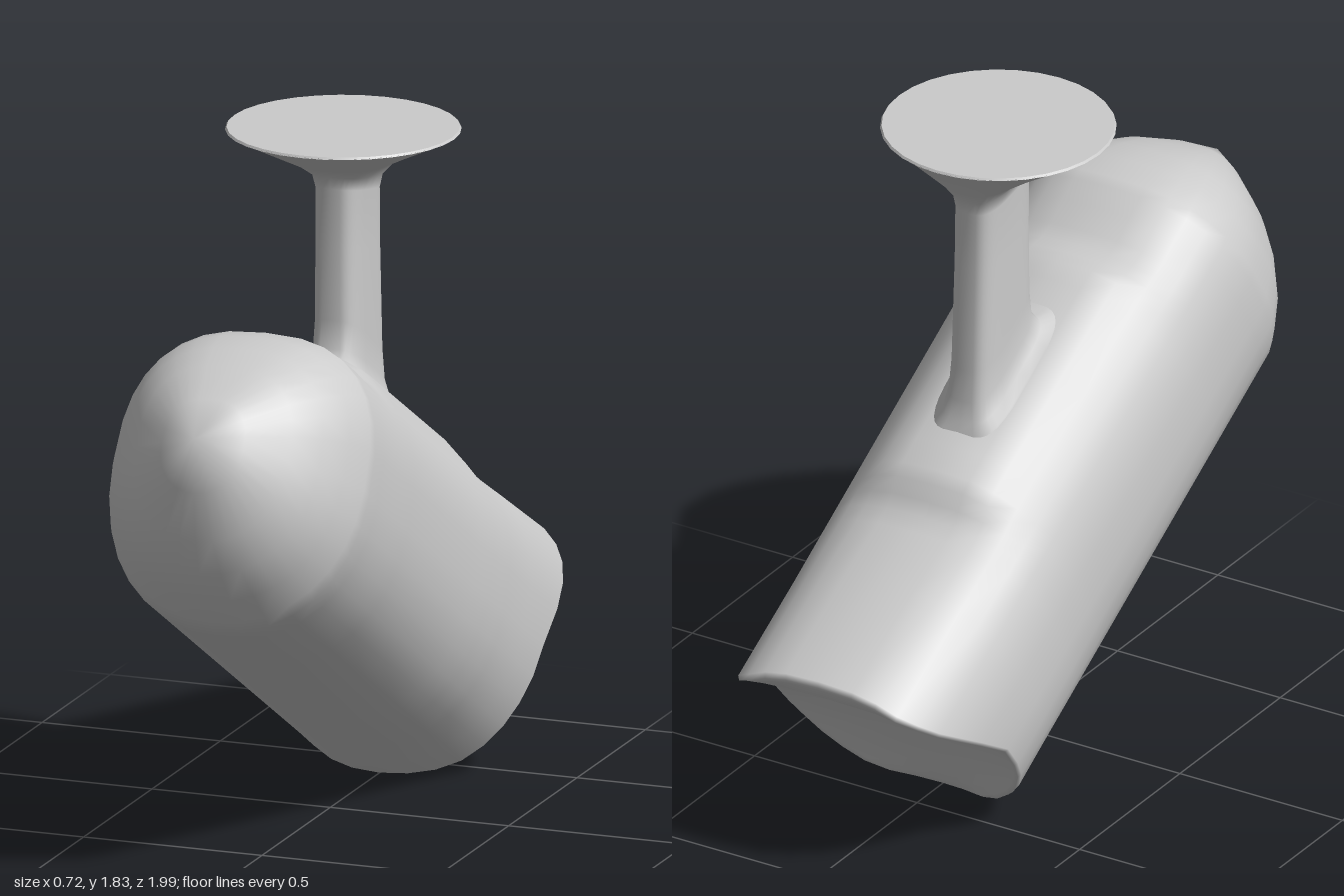
import * as THREE from 'three';
import { mergeVertices } from 'three/addons/utils/BufferGeometryUtils.js';

const N = 32;
const TILT = Math.PI / 6, C = Math.cos(TILT), S = Math.sin(TILT);
const MID = 0.588, HALF_W = 0.358; // body axis height across the tilt, half width
const smooth = THREE.MathUtils.smoothstep;

// Unit superellipse points, counter-clockwise, with separate roundness above and below
function section(upper, lower = upper) {
  return Array.from({ length: N }, (_, i) => {
    const a = (i / N) * Math.PI * 2, p = Math.sin(a) > 0 ? upper : lower;
    const f = v => Math.sign(v) * Math.abs(v) ** (2 / p);
    return [f(Math.cos(a)), f(Math.sin(a))];
  });
}

// Smooth skin through a list of equal-length closed rings
function loft(name, rings, material) {
  let g = new THREE.BufferGeometry();
  const index = [];
  for (let i = 0; i < rings.length - 1; i++)
    for (let j = 0; j < N; j++) {
      const k = (j + 1) % N, a = i * N + j, b = i * N + k;
      index.push(a, b, b + N, a, b + N, a + N);
    }
  g.setAttribute('position', new THREE.Float32BufferAttribute(rings.flat(2), 3));
  g.setIndex(index);
  g = mergeVertices(g, 1e-5);
  g.computeVertexNormals();
  const mesh = new THREE.Mesh(g, material);
  mesh.name = name;
  return mesh;
}

// Piecewise-linear lookup in [input, output] pairs
function lookup(table, v) {
  if (v <= table[0][0]) return table[0][1];
  for (let i = 1; i < table.length; i++) {
    const [a, p] = table[i - 1], [b, q] = table[i];
    if (v <= b) return p + (q - p) * (v - a) / (b - a);
  }
  return table[table.length - 1][1];
}

// Body space (x, across t, along s) to model space
const place = (x, t, s) => [x, s * S + t * C, s * C - t * S];

// Slanted rear outline: along-axis position for each height
const REAR = [[0.183, -0.315], [0.23, -0.352], [0.45, -0.37], [0.59, -0.395], [0.72, -0.47],
  [0.85, -0.55], [0.93, -0.587], [1.0, -0.578]];

function bodyRings() {
  const shape = section(2.6, 2.15);
  const rings = [];
  // shallow dished rear face, from centre to rim
  for (const k of [0, 0.25, 0.5, 0.7, 0.85, 0.95, 0.985])
    rings.push(shape.map(([u, v]) => {
      const t = MID + v * 0.405 * k;
      return place(u * HALF_W * k, t, lookup(REAR, t) + 0.03 * (1 - k ** 4));
    }));
  rings.push(shape.map(([u, v]) => {
    const t = MID + v * 0.405;
    return place(u * HALF_W, t + 0.008 * Math.max(v, 0), lookup(REAR, t) + 0.012);
  }));
  // straight barrel with a low raised pad on top
  for (const s of [-0.22, -0.05, 0, 0.04, 0.08, 0.12, 0.2, 0.5, 0.76, 0.82, 0.86, 0.9, 0.95, 1.02, 1.09])
    rings.push(shape.map(([u, v]) => {
      const x = u * HALF_W;
      const pad = v > 0 ? smooth(s, 0, 0.11) * (1 - smooth(s, 0.8, 0.93)) * (1 - smooth(Math.abs(x), 0.12, 0.28)) : 0;
      const groove = v > 0 && s > -0.1 && s < 1 ? 0.012 * (1 - smooth(Math.abs(x), 0.14, 0.3)) : 0;
      return place(x, MID + v * 0.403 + pad * 0.047 - groove, s);
    }));
  // domed front
  for (const [s, k] of [[1.12, 0.985], [1.2, 0.9], [1.275, 0.77], [1.345, 0.6], [1.425, 0.32], [1.498, 0]])
    rings.push(shape.map(([u, v]) => place(u * HALF_W * k, MID + 0.01 + v * 0.4 * k, s)));
  return rings;
}

// Stand: a flattened post with a sloping foot, flaring to a round plate
function standRings() {
  const top = z => (1.022 + S * z) / C; // sloping top of the pad
  const lean = (y, slope) => z => y + slope * (z + 0.125);
  const stations = [ // half width, front z, back z, height rule, roundness
    [0.11, 0.085, -0.31, z => top(z) - 0.03, 4],
    [0.105, 0.075, -0.3, z => top(z) + 0.004, 4],
    [0.082, 0.03, -0.285, z => top(z) + 0.022, 4],
    [0.069, 0.004, -0.275, z => top(z) + 0.07, 3.6],
    [0.066, -0.003, -0.265, z => top(z) + 0.15, 3.4],
    [0.065, -0.004, -0.252, lean(1.5, 0.2), 3.2],
    [0.065, -0.004, -0.248, lean(1.66, 0.2), 3.2],
    [0.074, 0.005, -0.255, lean(1.695, 0.18), 3],
    [0.11, 0.045, -0.283, lean(1.726, 0.11), 2.6],
    [0.19, 0.115, -0.332, lean(1.768, 0.045), 2.2],
    [0.27, 0.18, -0.378, lean(1.807, 0.01), 2],
    [0.31, 0.215, -0.405, lean(1.828, 0), 2],
  ];
  return stations.map(([w, f, b, height, p]) => section(p).map(([u, v]) => {
    const z = (f + b) / 2 - v * (f - b) / 2;
    return [u * w, height(z), z];
  }));
}

export function createModel() {
  const group = new THREE.Group();
  const material = new THREE.MeshStandardMaterial({ color: 0xcccccc });
  group.add(loft('body', bodyRings(), material));
  group.add(loft('stand', standRings(), material));

  // flat plate closing the flare
  const plate = new THREE.Mesh(new THREE.CylinderGeometry(0.306, 0.31, 0.006, N), material);
  plate.name = 'mountingPlate';
  plate.position.set(0, 1.829, -0.095);
  group.add(plate);
  return group;
}
